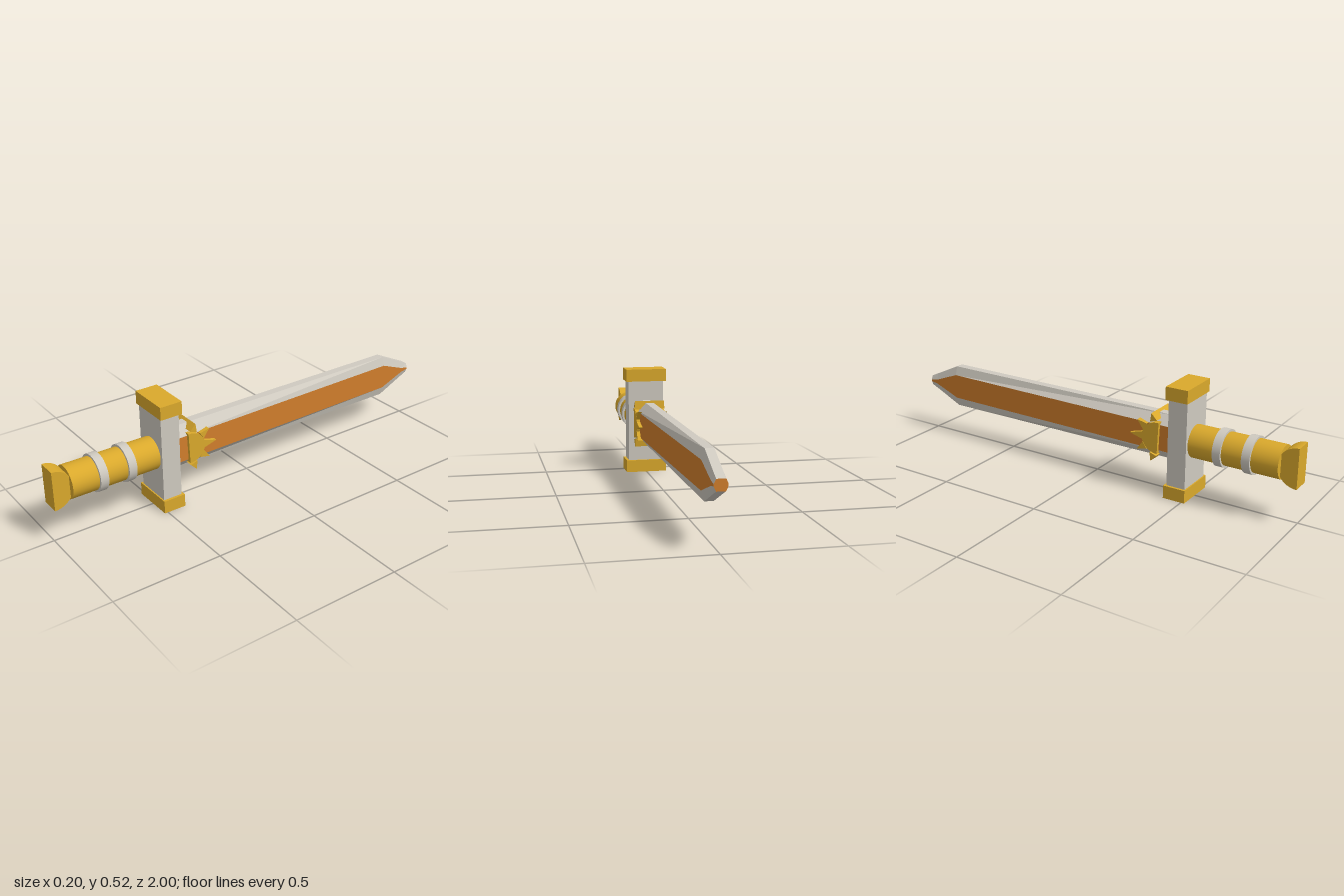
import * as THREE from 'three';

const CY = 0.261; // height of the sword's long axis

export function createModel() {
  const mat = (name, color) => {
    const m = new THREE.MeshStandardMaterial({ color });
    m.name = name;
    return m;
  };
  const gold = mat('gold', 0xdaa92c);
  const silver = mat('silver', 0xcfcac0);
  const orange = mat('orange', 0xd17e2c);

  const root = new THREE.Group();
  root.name = 'sword';
  const add = (name, geometry, material, x, y, z) => {
    const mesh = new THREE.Mesh(geometry, material);
    mesh.name = name;
    mesh.position.set(x, y, z);
    root.add(mesh);
    return mesh;
  };

  // Blade: eight-sided sections, tapering toward -z
  // w: half thickness, h: half height, f: half height of the flat side
  const sections = [
    { z: 0.43, w: 0.06, h: 0.103, f: 0.06 },
    { z: -0.83, w: 0.032, h: 0.103, f: 0.06 },
    { z: -0.96, w: 0.029, h: 0.042, f: 0.011 },
    { z: -1, w: 0.028, h: 0.024, f: 0.004 },
  ];
  const e = 0.019; // half width of the cutting edge
  const rings = sections.map(({ z, w, h, f }) =>
    [[w, -f], [w, f], [e, h], [-e, h], [-w, f], [-w, -f], [-e, -h], [e, -h]].map(([x, y]) => [x, y, z]));
  const steel = [];
  const inlay = [];
  for (let s = 0; s < rings.length - 1; s++) {
    const a = rings[s], b = rings[s + 1];
    for (let i = 0; i < 8; i++) {
      const j = (i + 1) % 8;
      (i % 4 === 0 ? inlay : steel).push(...a[i], ...b[i], ...b[j], ...a[i], ...b[j], ...a[j]);
    }
  }
  const tip = rings[rings.length - 1];
  for (let i = 1; i < 7; i++) inlay.push(...tip[0], ...tip[i + 1], ...tip[i]);
  const facets = (positions) => {
    const g = new THREE.BufferGeometry();
    g.setAttribute('position', new THREE.Float32BufferAttribute(positions, 3));
    g.computeVertexNormals();
    return g;
  };
  add('bladeEdges', facets(steel), silver, 0, CY, 0);
  add('bladeInlay', facets(inlay), orange, 0, CY, 0);

  // Crossguard with its two end caps
  add('guard', new THREE.BoxGeometry(0.176, 0.4, 0.09), silver, 0, 0.26, 0.465);
  for (const [name, y] of [['guardCapBottom', 0.03], ['guardCapTop', 0.49]]) {
    add(name, new THREE.BoxGeometry(0.2, 0.06, 0.106), gold, 0, y, 0.463);
  }

  // Grip and its rings
  const rod = (name, radius, z0, z1, material) => {
    const g = new THREE.CylinderGeometry(radius, radius, z1 - z0, 32).rotateX(Math.PI / 2);
    add(name, g, material, 0, CY, (z0 + z1) / 2);
  };
  rod('grip', 0.075, 0.5, 0.925, gold);
  rod('gripRingFront', 0.085, 0.765, 0.803, silver);
  rod('gripRingBack', 0.085, 0.63, 0.668, silver);

  // Extrudes a side profile (u toward -z, v up) across the sword's thickness
  const across = (shape, width) =>
    new THREE.ExtrudeGeometry(shape, { depth: width, bevelEnabled: false, curveSegments: 20 })
      .translate(0, 0, -width / 2)
      .rotateY(Math.PI / 2);

  // Half-round pommel, flat side outward
  const half = new THREE.Shape();
  half.absarc(0, 0, 0.091, -Math.PI / 2, Math.PI / 2, false);
  half.closePath();
  add('pommel', across(half, 0.088), gold, 0, CY, 1);

  // Half sun passing through the blade
  const sunZ = 0.364;
  const sun = new THREE.Shape();
  sun.moveTo(0, -0.073);
  sun.absellipse(0.006, 0, 0.078, 0.073, -Math.PI / 2, Math.PI / 2, false);
  sun.lineTo(0, 0.073);
  sun.closePath();
  add('sunDisc', across(sun, 0.146), gold, 0, CY, sunZ);

  // Sun rays: angle and tip distance
  for (const [angle, reach] of [[0, 0.145], [33, 0.128], [-33, 0.128], [72, 0.119], [-72, 0.119]]) {
    const ray = new THREE.Shape();
    ray.moveTo(0.082, -0.018);
    ray.lineTo(reach, 0);
    ray.lineTo(0.082, 0.018);
    ray.closePath();
    const mesh = add('sunRay', across(ray, 0.146), gold, 0, CY, sunZ);
    mesh.rotation.x = THREE.MathUtils.degToRad(angle);
  }

  return root;
}
